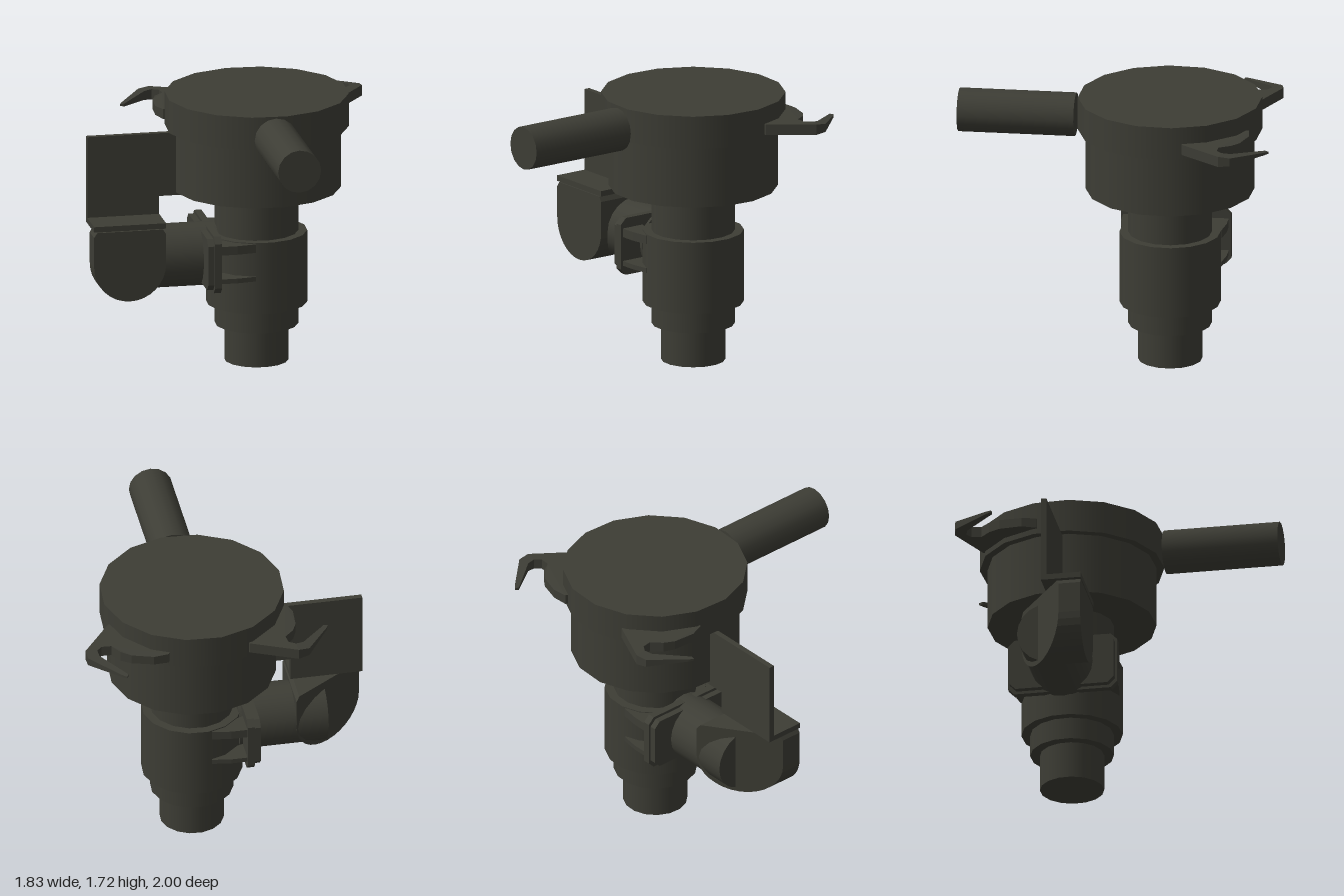
import * as THREE from 'three';

const CX = 0.168, CZ = -0.318; // vertical axis of the body

export function createModel() {
  const group = new THREE.Group();
  const mat = new THREE.MeshStandardMaterial({ color: 0x3d3d35 });
  mat.name = 'dark olive grey';

  const add = (name, geo, x = 0, y = 0, z = 0) => {
    const m = new THREE.Mesh(geo, mat);
    m.name = name;
    m.position.set(x, y, z);
    group.add(m);
    return m;
  };
  const box = (name, x0, x1, y0, y1, z0, z1) =>
    add(name, new THREE.BoxGeometry(x1 - x0, y1 - y0, z1 - z0), (x0 + x1) / 2, (y0 + y1) / 2, (z0 + z1) / 2);
  // Extrudes an outline of [x, z] points into a slab centred on y = 0
  const slab = (pts, height) => {
    const shape = new THREE.Shape(pts.map(([x, z]) => new THREE.Vector2(x, -z)));
    const g = new THREE.ExtrudeGeometry(shape, { depth: height, bevelEnabled: false });
    return g.translate(0, 0, -height / 2).rotateX(-Math.PI / 2);
  };

  // Stacked round body
  const stack = [
    ['bottomSpigot', 0.2, 0, 0.24],
    ['neck', 0.26, 0.235, 1.13],
    ['collar', 0.315, 0.375, 0.835],
    ['drum', 0.525, 1.12, 1.52],
    ['cap', 0.573, 1.51, 1.72],
  ];
  for (const [name, r, y0, y1] of stack) {
    const m = add(name, new THREE.CylinderGeometry(r, r, y1 - y0, 16), CX, (y0 + y1) / 2, CZ);
    m.rotation.y = THREE.MathUtils.degToRad(8);
  }

  // Front pipe
  const front = new THREE.CylinderGeometry(0.136, 0.136, 0.73, 16).rotateX(Math.PI / 2);
  add('frontPipe', front, 0.172, 1.58, 0.635);

  // Side pipe running into the collar
  const side = new THREE.CylinderGeometry(0.198, 0.198, 0.56, 20).rotateZ(Math.PI / 2);
  add('sidePipe', side, -0.38, 0.702, CZ);

  // Elbow: U-shaped section with a slanted back face
  const u = new THREE.Shape();
  u.moveTo(-0.455, 0.715);
  u.lineTo(-0.455, 0.91);
  u.lineTo(-0.475, 0.94);
  u.lineTo(-0.89, 0.94);
  u.lineTo(-0.91, 0.91);
  u.lineTo(-0.91, 0.715);
  u.absarc(-0.6825, 0.715, 0.2275, Math.PI, Math.PI * 2, false);
  const elbow = new THREE.ExtrudeGeometry(u, { depth: 1, bevelEnabled: false, curveSegments: 8 });
  const ep = elbow.attributes.position;
  for (let i = 0; i < ep.count; i++) {
    const back = -0.52 + (-0.46 - ep.getX(i)) * 0.69;
    ep.setZ(i, ep.getZ(i) > 0.5 ? -0.072 : back);
  }
  elbow.computeVertexNormals();
  add('elbow', elbow);

  // Angle bracket above the elbow
  box('bracketLedge', -0.91, -0.455, 0.945, 0.98, -0.32, -0.07);
  box('bracketPlate', -0.91, -0.455, 0.945, 1.5, -0.32, -0.285);
  box('bracketTab', -0.455, -0.312, 1.095, 1.5, -0.32, -0.285);

  // Clamp flanges, chamfered at the corners
  const flange = (name, x0, x1, h, w) => {
    const c = 0.04, pts = [];
    for (const [a, b, k] of [[1, 1, 0], [-1, 1, 1], [-1, -1, 0], [1, -1, 1]]) {
      const p = [[a * h, b * (w - c)], [a * (h - c), b * w]];
      pts.push(...(k ? p.reverse() : p));
    }
    const g = slab(pts, x1 - x0).rotateZ(Math.PI / 2);
    add(name, g, (x0 + x1) / 2, 0.71, CZ);
  };
  flange('outerFlange', -0.205, -0.165, 0.165, 0.33);
  flange('innerFlange', -0.165, -0.12, 0.183, 0.345);

  // Clamp prongs on both sides of the collar
  for (const s of [1, -1]) {
    for (const y of [0.802, 0.605]) {
      let pts = [[-0.14, 0.17], [-0.14, 0.33], [-0.02, 0.33], [0.1, 0.312], [0.1, 0.27], [0, 0.22]];
      pts = pts.map(([x, z]) => [x, z * s]);
      add('clampProng', slab(pts, y > 0.7 ? 0.055 : 0.03), 0, y, CZ);
    }
  }

  // Two hooks on the cap, thinning towards the tip
  const hookPts = [
    [-0.62, -0.69], [-0.605, -0.72], [-0.455, -0.94], [-0.385, -0.957], [-0.1, -0.83], [0, -0.65],
    [-0.2, -0.4], [-0.4, -0.44], [-0.43, -0.53], [-0.42, -0.67], [-0.39, -0.74], [-0.33, -0.8],
    [-0.34, -0.86], [-0.38, -0.885], [-0.43, -0.87], [-0.595, -0.685],
  ].map(([x, z]) => [x - CX, z - CZ]);
  for (const [name, deg] of [['rightHook', 0], ['leftHook', -103]]) {
    const g = slab(hookPts, 1), p = g.attributes.position;
    for (let i = 0; i < p.count; i++) {
      const t = THREE.MathUtils.clamp((p.getX(i) + 0.79) / 0.24, 0, 1);
      p.setY(i, p.getY(i) * (0.012 + 0.056 * t));
    }
    g.computeVertexNormals();
    add(name, g, CX, 1.577, CZ).rotation.y = THREE.MathUtils.degToRad(deg);
  }

  return group;
}
